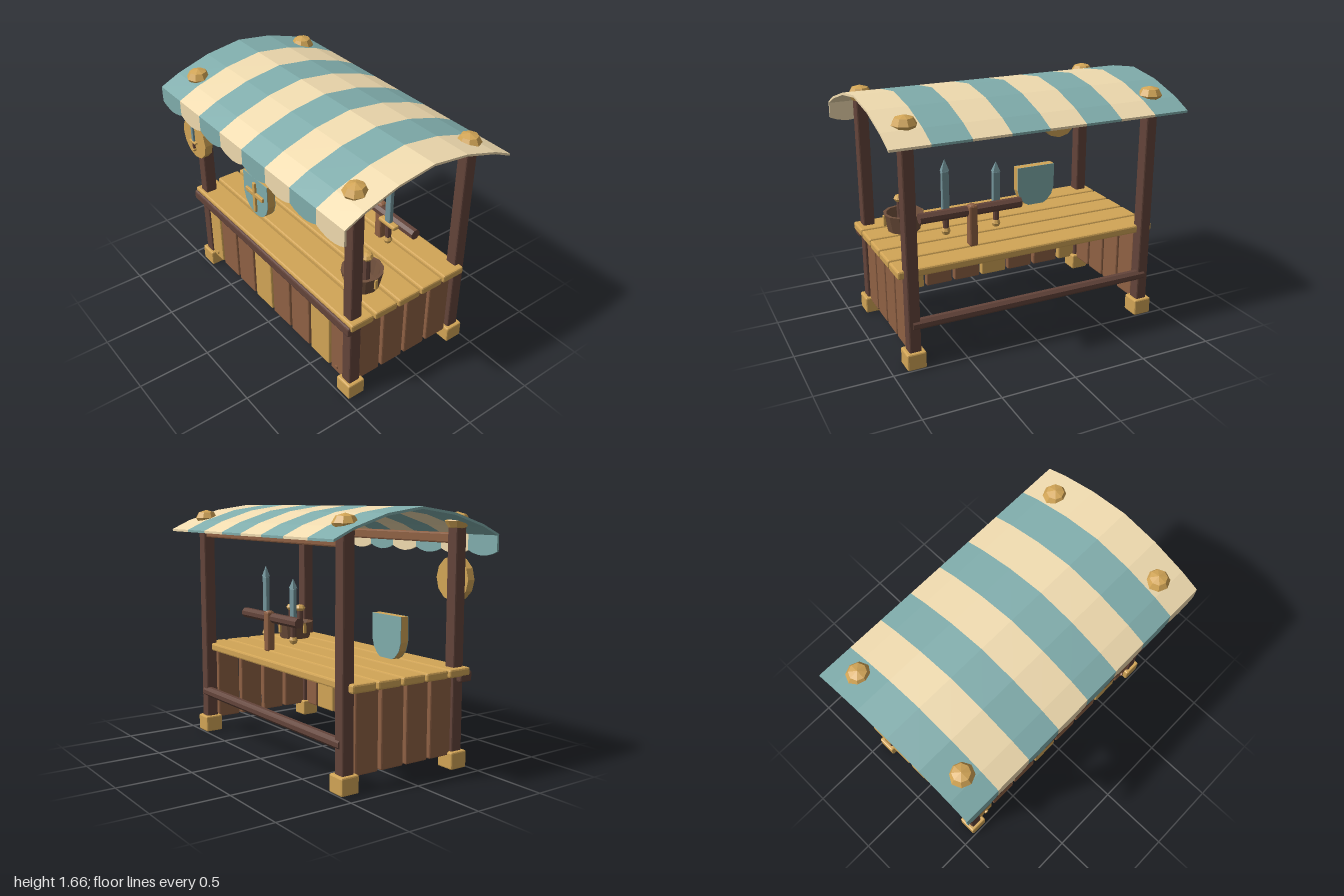
import * as THREE from 'three';
import { RoundedBoxGeometry } from 'three/addons/geometries/RoundedBoxGeometry.js';

const mat = (color, extra = {}) => new THREE.MeshStandardMaterial({ color, flatShading: true, ...extra });
const DARK = mat(0x63443a), BROWN = mat(0x8f6144), GOLD = mat(0xd2a556);
const TEAL = mat(0x80adac), CREAM = mat(0xf0dbaf), STEEL = mat(0x73949a);
const BASKET = mat(0x70503c, { side: THREE.DoubleSide });

function add(parent, name, geo, material, x = 0, y = 0, z = 0) {
  const m = new THREE.Mesh(geo, material);
  m.name = name;
  m.position.set(x, y, z);
  parent.add(m);
  return m;
}

// Bevelled box given by its centre and size
function box(parent, name, material, [x, y, z], [w, h, d], r = 0.01) {
  return add(parent, name, new RoundedBoxGeometry(w, h, d, 1, Math.min(r, w / 3, h / 3, d / 3)), material, x, y, z);
}

// Octagonal pole along x
function pole(parent, name, x, y, z, length, r) {
  const g = new THREE.CylinderGeometry(r, r, length, 8).rotateY(Math.PI / 8).rotateZ(Math.PI / 2);
  return add(parent, name, g, DARK, x, y, z);
}

function knob(parent, name, x, y, z, r, squash = 1) {
  return add(parent, name, new THREE.SphereGeometry(r, 8, 4).scale(1, squash, 1), GOLD, x, y, z);
}

function extrude(points, depth) {
  const shape = new THREE.Shape(points.map(p => new THREE.Vector2(...p)));
  return new THREE.ExtrudeGeometry(shape, { depth, bevelEnabled: false });
}

// Upright sword with the guard at the origin
function sword(blade, tip, grip) {
  const g = new THREE.Group();
  g.name = 'sword';
  box(g, 'blade', STEEL, [0, blade / 2, 0], [0.05, blade, 0.03], 0.006);
  const point = new THREE.ConeGeometry(0.036, tip, 4).rotateY(Math.PI / 4).scale(1, 1, 0.75);
  add(g, 'bladeTip', point, STEEL, 0, blade + tip / 2, 0);
  box(g, 'guard', GOLD, [0, -0.01, 0], [0.155, 0.03, 0.05]);
  add(g, 'grip', new THREE.CylinderGeometry(0.021, 0.021, grip, 8), DARK, 0, -0.02 - grip / 2, 0);
  knob(g, 'pommel', 0, -0.03 - grip, 0, 0.031);
  return g;
}

function buildFrame(root) {
  const frame = new THREE.Group();
  frame.name = 'frame';
  root.add(frame);
  for (const x of [-0.84, 0.84]) {
    for (const z of [0.425, -0.432]) {
      box(frame, 'post', DARK, [x, 0.81, z], [0.08, 1.48, 0.085]);
      box(frame, 'postFoot', GOLD, [x, 0.057, z], [0.128, 0.114, 0.128]);
      knob(frame, 'postCap', x, 1.565, z, 0.079, 0.72);
    }
  }
  for (const z of [0.425, -0.432]) box(frame, 'roofBeam', BROWN, [0, 1.46, z], [1.66, 0.065, 0.05]);
  pole(frame, 'backRail', 0, 0.295, -0.452, 1.7, 0.036);
}

function buildCounter(root) {
  const counter = new THREE.Group();
  counter.name = 'counter';
  root.add(counter);
  // Top planks and the rail along the front edge
  for (let i = 0; i < 5; i++) {
    box(counter, 'topPlank', GOLD, [0, 0.628, 0.405 - i * 0.1875], [1.84, 0.055, 0.173], 0.012);
  }
  box(counter, 'frontRail', DARK, [-0.005, 0.597, 0.46], [1.825, 0.07, 0.098], 0.012);
  // Front boards
  for (let i = 0; i < 8; i++) {
    const x = -0.77 + i * 0.22;
    box(counter, 'frontBoard', i % 3 === 0 ? GOLD : BROWN, [x, 0.35, 0.43], [0.2, 0.52, 0.05]);
  }
  for (const x of [-0.735, 0.735]) {
    for (const y of [0.14, 0.53]) {
      add(counter, 'nail', new THREE.CylinderGeometry(0.014, 0.014, 0.02, 8).rotateX(Math.PI / 2),
        x < 0 ? GOLD : BROWN, x, y, 0.457);
    }
  }
  // Side boards
  for (const x of [-0.84, 0.84]) {
    for (let i = 0; i < 4; i++) {
      box(counter, 'sideBoard', BROWN, [x, 0.35, 0.297 - i * 0.194], [0.05, 0.52, 0.173]);
    }
  }
}

function buildCanopy(root) {
  const canopy = new THREE.Group();
  canopy.name = 'canopy';
  root.add(canopy);
  const top = [[-0.625, 1.485], [-0.49, 1.547], [-0.255, 1.62], [0, 1.656], [0.255, 1.62], [0.49, 1.547], [0.625, 1.485]];
  const profile = [...top, ...top.map(([z, y]) => [z, y - 0.015]).reverse()];
  const scallop = [[0, 1.485], [0, 1.376], [0.04, 1.36], [0.085, 1.35], [0.125, 1.346], [0.165, 1.35],
    [0.21, 1.36], [0.25, 1.376], [0.25, 1.485]];
  for (let i = 0; i < 8; i++) {
    const x = -1 + i * 0.25, cloth = i % 2 ? CREAM : TEAL;
    add(canopy, 'roofStripe', extrude(profile, 0.25).rotateY(Math.PI / 2), cloth, x);
    add(canopy, 'valance', extrude(scallop, 0.015), cloth, x, 0, 0.61);
  }
}

function buildShield(root) {
  const g = new THREE.Group();
  g.name = 'shield';
  g.position.set(-0.378, 0, 0.25);
  root.add(g);
  const half = [[0.147, 0.945], [0.147, 0.775], [0.128, 0.715], [0.09, 0.672], [0.05, 0.65]];
  const outline = [...half, [0, 0.635], ...half.slice().reverse().map(([x, y]) => [-x, y])];
  add(g, 'shieldBody', extrude(outline, 0.057), GOLD, 0, 0, 0.004);
  add(g, 'shieldFace', extrude(outline, 0.004), TEAL, 0, 0, 0.061);
  add(g, 'shieldBack', extrude(outline, 0.004), TEAL);
  box(g, 'crossUpright', GOLD, [0, 0.793, 0.07], [0.03, 0.24, 0.024], 0.005);
  box(g, 'crossBar', GOLD, [0, 0.818, 0.07], [0.21, 0.033, 0.024], 0.005);
}

function buildSign(root) {
  const g = new THREE.Group();
  g.name = 'hangingSign';
  g.position.set(-0.715, 1.195, 0.538);
  root.add(g);
  add(g, 'signDisc', new THREE.CylinderGeometry(0.145, 0.145, 0.055, 12).rotateX(Math.PI / 2), GOLD);
  box(g, 'signHanger', DARK, [0, 0.165, -0.013], [0.014, 0.09, 0.014], 0.003);
  const dagger = sword(0.24, 0.07, 0.1);
  dagger.name = 'signDagger';
  dagger.scale.setScalar(0.5);
  dagger.position.set(0, -0.018, 0.036);
  g.add(dagger);
}

function buildSwordRack(root) {
  const g = new THREE.Group();
  g.name = 'swordRack';
  root.add(g);
  box(g, 'rackPost', BROWN, [0.335, 0.785, -0.22], [0.06, 0.28, 0.06], 0.012);
  add(g, 'rackPostTop', new THREE.SphereGeometry(0.03, 8, 4).scale(1, 0.6, 1), BROWN, 0.335, 0.915, -0.22);
  pole(g, 'rackBar', 0.335, 0.88, -0.202, 0.71, 0.036);
  const a = sword(0.235, 0.068, 0.09);
  a.position.set(0.134, 0.863, -0.15);
  const b = sword(0.265, 0.078, 0.11);
  b.position.set(0.49, 0.888, -0.15);
  g.add(a, b);
}

function buildBasket(root) {
  const g = new THREE.Group();
  g.name = 'basket';
  g.position.set(0.655, 0.655, 0.2);
  root.add(g);
  // Tapered open tub
  const profile = [[0, 0.008], [0.11, 0.008], [0.137, 0.13], [0.115, 0.13], [0.09, 0.025], [0, 0.025]];
  add(g, 'tub', new THREE.LatheGeometry(profile.map(p => new THREE.Vector2(...p)), 12), BASKET);
  for (let i = 0; i < 4; i++) {
    const a = i * Math.PI / 2;
    const clip = box(g, 'clip', GOLD, [0.133 * Math.sin(a), 0.09, 0.133 * Math.cos(a)], [0.022, 0.075, 0.018], 0.004);
    clip.rotation.y = a;
  }
  // Clubs standing in the tub
  for (const [x, z] of [[-0.052, 0.012], [0.025, -0.012]]) {
    add(g, 'clubShaft', new THREE.CylinderGeometry(0.024, 0.024, 0.2, 8), DARK, x, 0.12, z);
    knob(g, 'clubHead', x, 0.235, z, 0.042, 0.65);
  }
}

export function createModel() {
  const root = new THREE.Group();
  root.name = 'marketStall';
  for (const build of [buildFrame, buildCounter, buildCanopy, buildShield, buildSign, buildSwordRack, buildBasket]) build(root);
  return root;
}
